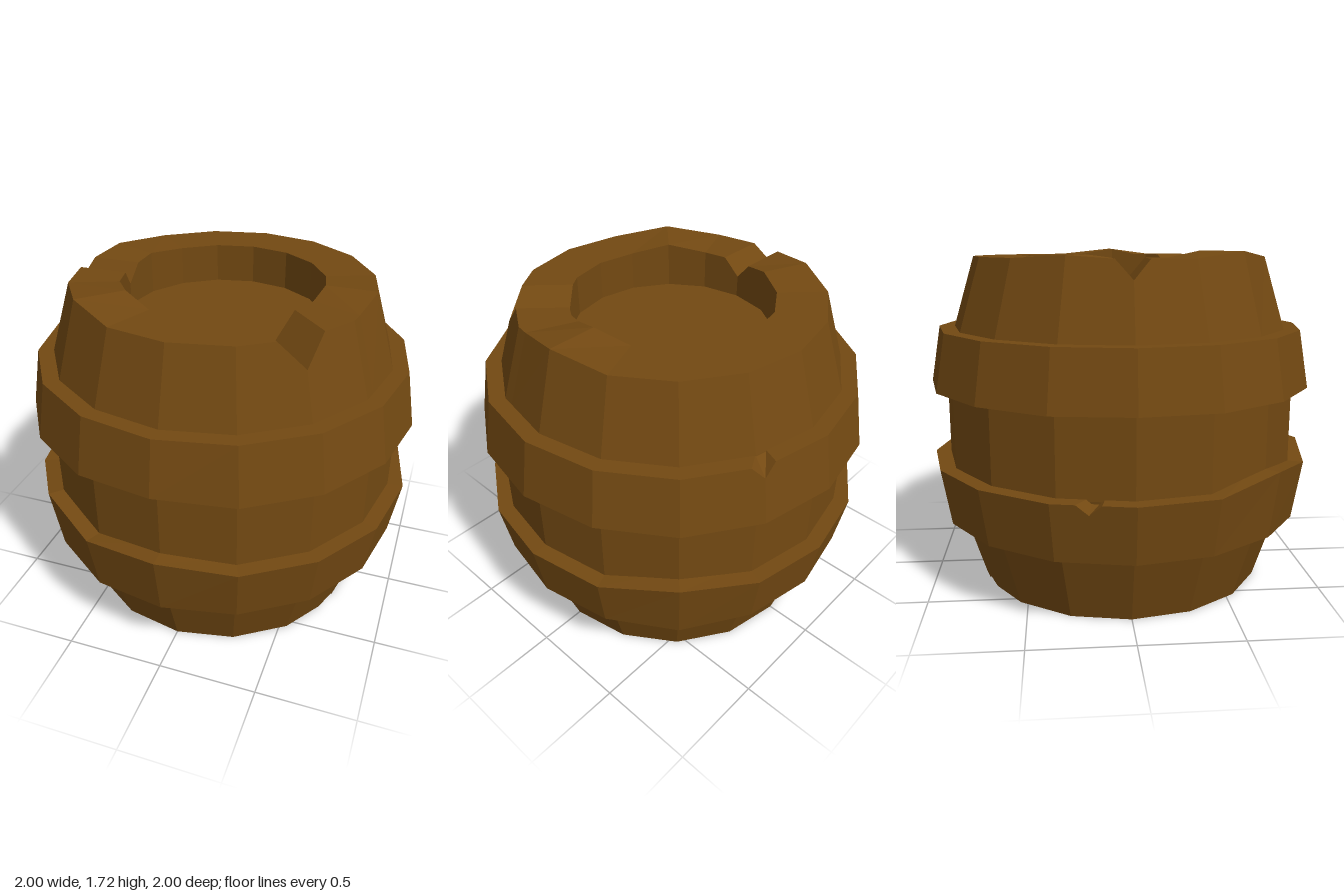
import * as THREE from 'three';

const SIDES = 16, STEP = (Math.PI * 2) / SIDES;
const material = new THREE.MeshStandardMaterial({ color: 0x734912, flatShading: true });

// Stations around the axis: every corner, plus a centre and two edges per cut.
// k counts corners from +x towards +z; w is the sideways offset of a cut's edge.
function makeStations(cuts) {
  const list = [];
  for (let k = 0; k < SIDES; k++) list.push({ k, w: 0 });
  for (const cut of cuts) {
    for (const s of [-1, 1]) list.push({ k: cut.k, w: s * cut.width });
    const corner = list.find((p) => p.k === cut.k && p.w === 0);
    if (corner) corner.cut = cut;
    else list.push({ k: cut.k, w: 0, cut });
  }
  return list.sort((a, b) => a.k * STEP + a.w - (b.k * STEP + b.w));
}

// Point on the sixteen-sided ring of radius r
function ringPoint(station, r, y) {
  const a = station.k * STEP + (r > 0 ? Math.asin(station.w / r) : 0);
  const fromCorner = (((a % STEP) + STEP) % STEP) - STEP / 2;
  const d = (r * Math.cos(STEP / 2)) / Math.cos(fromCorner);
  return new THREE.Vector3(Math.cos(a) * d, y, Math.sin(a) * d);
}

// Lofts a profile of [radius, height] given for each station
function loft(name, stations, profileAt) {
  const columns = stations.map((s) => profileAt(s).map(([r, y]) => ringPoint(s, r, y)));
  const pos = [];
  const tri = (a, b, c) => {
    const area = b.clone().sub(a).cross(c.clone().sub(a)).length();
    if (area > 1e-6) for (const p of [a, b, c]) pos.push(p.x, p.y, p.z);
  };
  columns.forEach((col, i) => {
    const next = columns[(i + 1) % columns.length];
    for (let j = 0; j < col.length - 1; j++) {
      tri(col[j], col[j + 1], next[j]);
      tri(next[j], col[j + 1], next[j + 1]);
    }
  });
  const geometry = new THREE.BufferGeometry();
  geometry.setAttribute('position', new THREE.Float32BufferAttribute(pos, 3));
  geometry.computeVertexNormals();
  const mesh = new THREE.Mesh(geometry, material);
  mesh.name = name;
  return mesh;
}

// Barrel body with recessed ends and V-shaped notches in both rims
function makeBody() {
  const cuts = [
    { k: 2, width: 0.12, depth: 0.13, top: true },
    { k: 8, width: 0.08, depth: 0.09, top: true },
    { k: 1, width: 0.065, depth: 0.08 },
    { k: 11, width: 0.065, depth: 0.08 },
  ];
  const lift = { 0: 0.03, 6: 0.03, 9: 0.015 };
  return loft('barrelBody', makeStations(cuts), ({ k, w, cut }) => {
    const up = w === 0 && lift[k] ? lift[k] : 0;
    const topCut = cut && cut.top ? cut.depth : 0;
    const lowCut = cut && !cut.top ? cut.depth : 0;
    const topY = 1.69 + up - topCut;
    return [
      [0, 0.2], [0.51, 0.2], [0.51, lowCut], [0.76 + lowCut * 0.31, lowCut],
      [0.87, 0.35], [0.92, 0.64], [0.92, 1.04], [0.87, 1.33],
      [0.76 + topCut * 0.31, topY], [0.51, topY], [0.51, 1.49], [0, 1.49],
    ];
  });
}

// Hoop with slightly uneven edges and one chip in its upper edge
function makeHoop(name, bottom, top, chip, bottomShift, topShift) {
  return loft(name, makeStations([chip]), ({ k, w, cut }) => {
    const corner = w === 0 && Number.isInteger(k);
    const low = bottom[1] + ((corner && bottomShift[k]) || 0);
    const high = top[1] + ((corner && topShift[k]) || 0);
    const drop = cut ? cut.depth : 0;
    const slope = (top[0] - bottom[0]) / (top[1] - bottom[1]);
    return [
      [0.865, low - 0.01], [bottom[0], low],
      [top[0] - drop * slope, high - drop], [0.865, high],
    ];
  });
}

export function createModel() {
  const group = new THREE.Group();
  group.name = 'barrel';
  group.add(
    makeBody(),
    makeHoop('lowerHoop', [0.95, 0.36], [1, 0.65],
      { k: 8.55, width: 0.06, depth: 0.05 },
      { 5: -0.015, 14: -0.015 }, { 0: 0.01, 4: 0.03, 6: 0.05, 14: 0.035 }),
    makeHoop('upperHoop', [1, 1.04], [0.95, 1.33],
      { k: 13, width: 0.06, depth: 0.06 },
      { 4: 0.015, 8: 0.005 }, {}),
  );
  return group;
}
